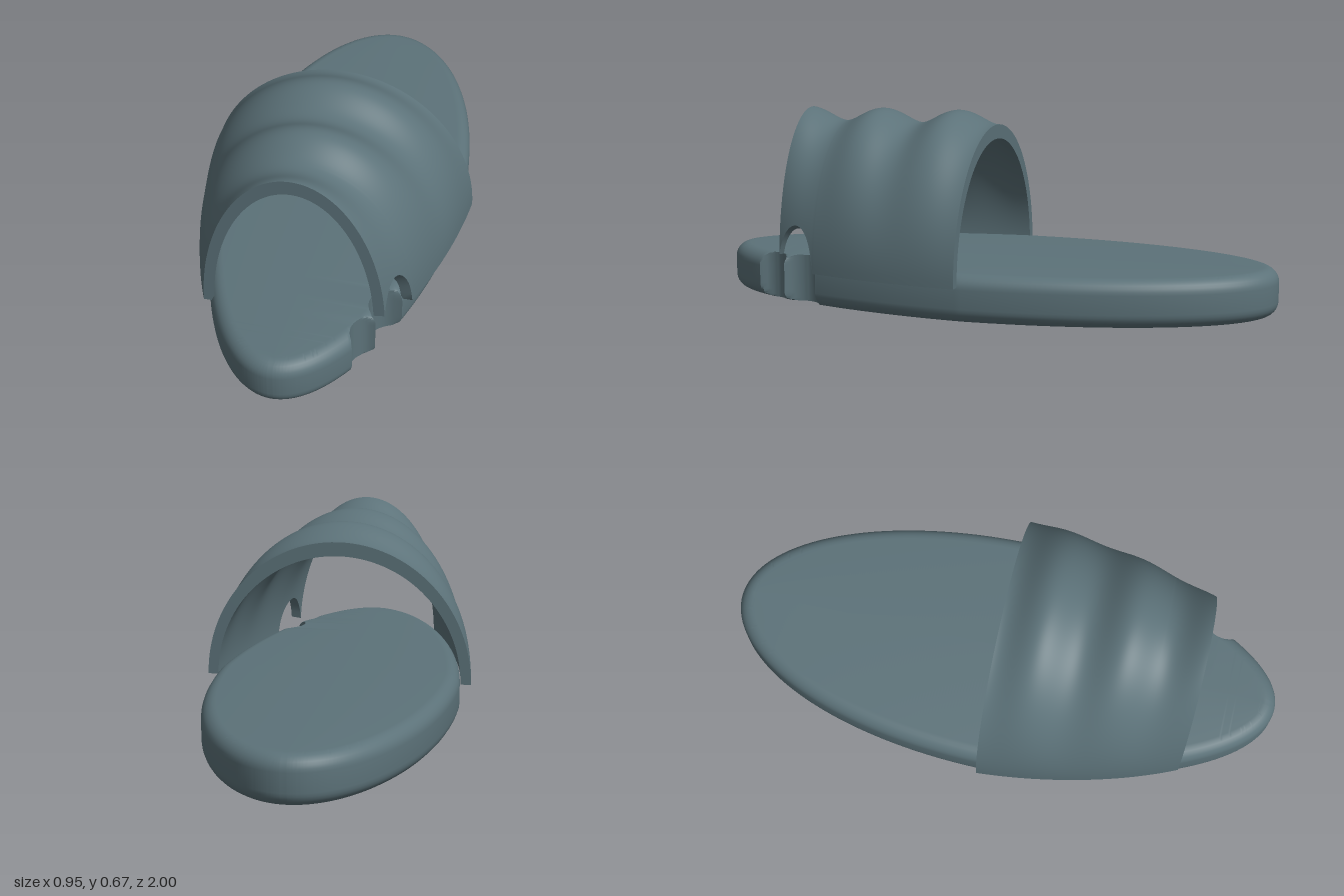
import * as THREE from 'three';
import { toCreasedNormals } from 'three/addons/utils/BufferGeometryUtils.js';

// Surface from a rule: fn(u, v) -> [x, y, z], with u and v in 0..1
function surface(nu, nv, fn) {
  const pos = [], idx = [];
  for (let j = 0; j <= nv; j++) {
    for (let i = 0; i <= nu; i++) pos.push(...fn(i / nu, j / nv));
  }
  for (let j = 0; j < nv; j++) {
    for (let i = 0; i < nu; i++) {
      const a = j * (nu + 1) + i, b = a + 1, c = a + nu + 1, d = c + 1;
      idx.push(a, c, b, b, c, d);
    }
  }
  const g = new THREE.BufferGeometry();
  g.setAttribute('position', new THREE.Float32BufferAttribute(pos, 3));
  g.setIndex(idx);
  g.computeVertexNormals();
  return g;
}

// Plan shape: an ellipse that narrows slightly towards the toe
const plan = z => Math.sqrt(Math.max(0, 1 - z * z)) * (1 - 0.14 * Math.max(0, z));
const dome = (z, c, r) => Math.sqrt(Math.max(0, 1 - ((z - c) / r) ** 2));

const SOLE_H = 0.165, SOLE_W = 0.435, STRAP_W = 0.475, STRAP_Y = 0.125, STRAP_Z = 0.7;

// Sole outline at angle t, moved inward by `inset`, with two bites on the left edge
function outline(t, inset) {
  const at = a => [SOLE_W * Math.sign(Math.sin(a)) * plan(Math.cos(a)), Math.cos(a)];
  const [x, z] = at(t), e = 0.01;
  const [x0, z0] = at(t - e), [x1, z1] = at(t + e);
  const dx = x1 - x0, dz = z1 - z0, len = Math.hypot(dx, dz);
  const bite = x > 0 ? Math.max(0.07 * dome(z, 0.628, 0.072), 0.045 * dome(z, 0.755, 0.055)) : 0;
  const d = Math.max(inset, bite);
  return [x + (dz / len) * d, z - (dx / len) * d];
}

function soleGeometry() {
  // Rows of [inset, height, width factor], from the bottom centre round to the top centre
  const rows = [[0.05, 0, 0]], r = 0.05, steps = 7;
  for (let i = 0; i <= steps; i++) {
    const a = (i / steps) * Math.PI / 2;
    rows.push([r - r * Math.sin(a), r - r * Math.cos(a), 1]);
  }
  for (let i = 0; i <= steps; i++) {
    const a = (i / steps) * Math.PI / 2;
    rows.push([r - r * Math.cos(a), SOLE_H - r + r * Math.sin(a), 1]);
  }
  rows.push([0.05, SOLE_H, 0]);
  const g = surface(600, rows.length - 1, (u, v) => {
    const [inset, y, k] = rows[Math.round(v * (rows.length - 1))];
    const [x, z] = outline((0.5 - u) * Math.PI * 2, inset);
    return [x * k, y, z];
  });
  return toCreasedNormals(g, 0.7);
}

// Point on the strap: s runs left to right over the arch, depth 0 outside to 1 inside
function strapPoint(s, z, depth) {
  const rise = 0.521 + 0.024 * Math.cos((z - 0.145) / 0.285 * Math.PI * 2);
  // the left edge is lifted where the bite cuts into the strap
  const lift = 0.158 * dome(z, 0.628, 0.076);
  const start = Math.asin(lift / rise);
  const a = start + s * (Math.PI - start);
  return [
    (STRAP_W * plan(z) - 0.037 * depth) * Math.cos(a),
    STRAP_Y + (rise - 0.05 * depth) * Math.sin(a),
    z
  ];
}

export function createModel() {
  const slate = new THREE.MeshStandardMaterial({ color: 0x5c7279, side: THREE.DoubleSide });
  slate.name = 'slate';
  const model = new THREE.Group();
  model.name = 'slipper';
  const add = (parent, name, geometry) => {
    const mesh = new THREE.Mesh(geometry, slate);
    mesh.name = name;
    parent.add(mesh);
  };

  add(model, 'sole', soleGeometry());

  // Ribbed strap: two skins closed by end rims and lower edges
  const strap = new THREE.Group();
  strap.name = 'strap';
  model.add(strap);
  add(strap, 'strapOutside', surface(64, 120, (u, v) => strapPoint(1 - u, v * STRAP_Z, 0)));
  add(strap, 'strapInside', surface(64, 120, (u, v) => strapPoint(u, v * STRAP_Z, 1)));
  add(strap, 'strapFrontRim', surface(64, 1, (u, v) => strapPoint(1 - u, STRAP_Z, v)));
  add(strap, 'strapBackRim', surface(64, 1, (u, v) => strapPoint(u, 0, v)));
  add(strap, 'strapLeftEdge', surface(1, 120, (u, v) => strapPoint(0, v * STRAP_Z, u)));
  add(strap, 'strapRightEdge', surface(1, 120, (u, v) => strapPoint(1, v * STRAP_Z, 1 - u)));
  return model;
}
